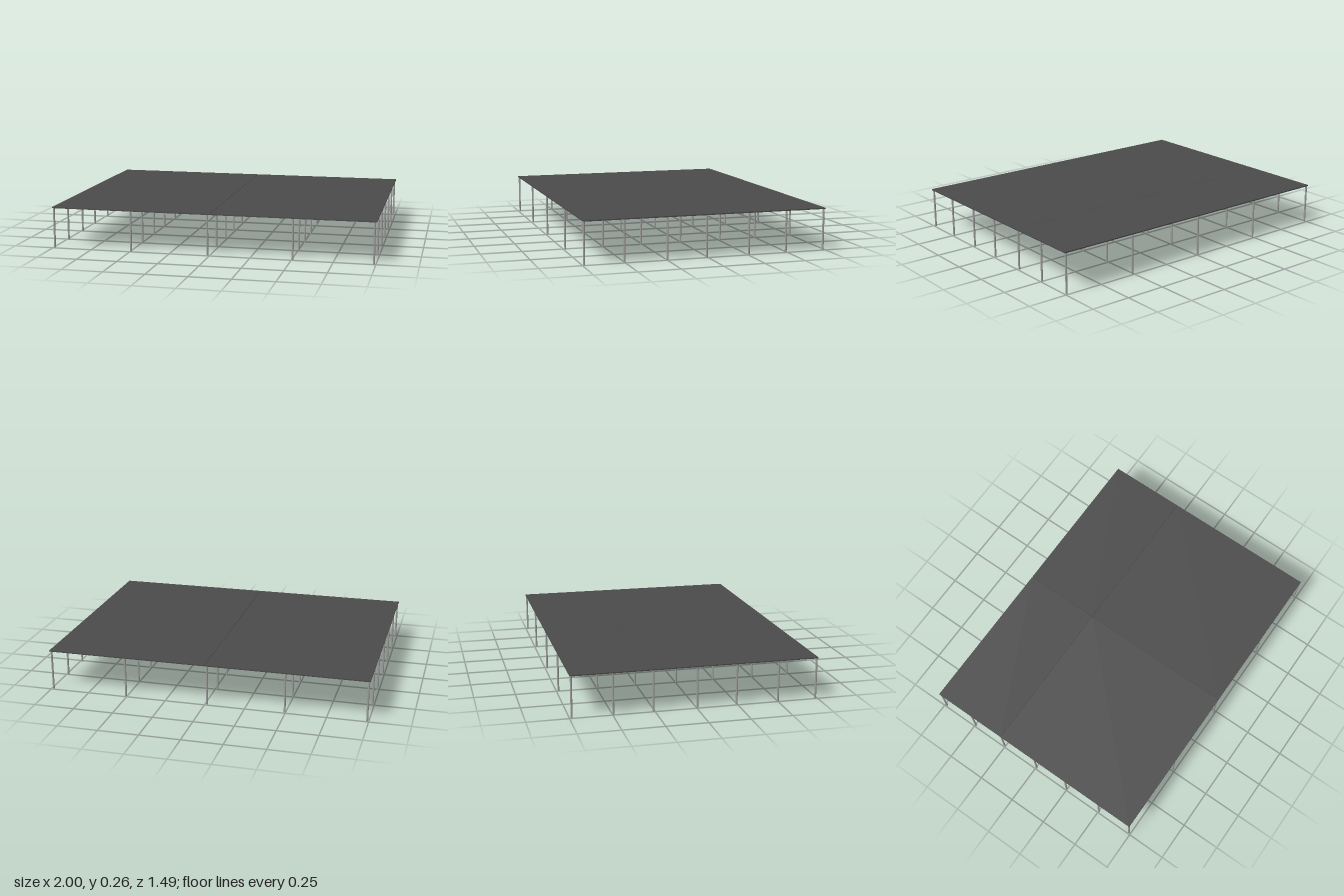
import * as THREE from 'three';

const TOP = 0.257, THICK = 0.007, LEG_R = 0.006;

export function createModel() {
  const model = new THREE.Group();
  model.name = 'stagePlatform';

  const deckMat = new THREE.MeshStandardMaterial({ color: 0x4a4a4a });
  deckMat.name = 'dark grey deck';
  const legMat = new THREE.MeshStandardMaterial({ color: 0x999999 });
  legMat.name = 'grey metal';

  // Four deck panels, separated by hairline seams at x = 0 and z = -0.25
  const deck = new THREE.Group();
  deck.name = 'deck';
  const addPanel = (x0, x1, z0, z1) => {
    const panel = new THREE.Mesh(new THREE.BoxGeometry(x1 - x0, THICK, z1 - z0), deckMat);
    panel.position.set((x0 + x1) / 2, TOP - THICK / 2, (z0 + z1) / 2);
    panel.name = 'deckPanel';
    deck.add(panel);
  };
  for (const [x0, x1] of [[-1, -0.001], [0.001, 1]]) {
    addPanel(x0, x1, -0.2495, 0.745);
    addPanel(x0, x1, -0.745, -0.2505);
  }
  model.add(deck);

  // Grid of round legs, 5 across and 7 deep
  const legs = new THREE.Group();
  legs.name = 'legs';
  const height = TOP - THICK;
  const legGeo = new THREE.CylinderGeometry(LEG_R, LEG_R, height, 16);
  for (const x of [-0.99, -0.495, -0.014, 0.507, 0.988]) {
    // one line of legs stands slightly further forward
    const shifted = x === 0.507 ? 0.26 : 0.245;
    for (const z of [0.738, 0.502, shifted, 0.005, -0.258, -0.495, -0.737]) {
      const leg = new THREE.Mesh(legGeo, legMat);
      leg.position.set(x, height / 2, z);
      leg.name = 'leg';
      legs.add(leg);
    }
  }
  model.add(legs);

  return model;
}
